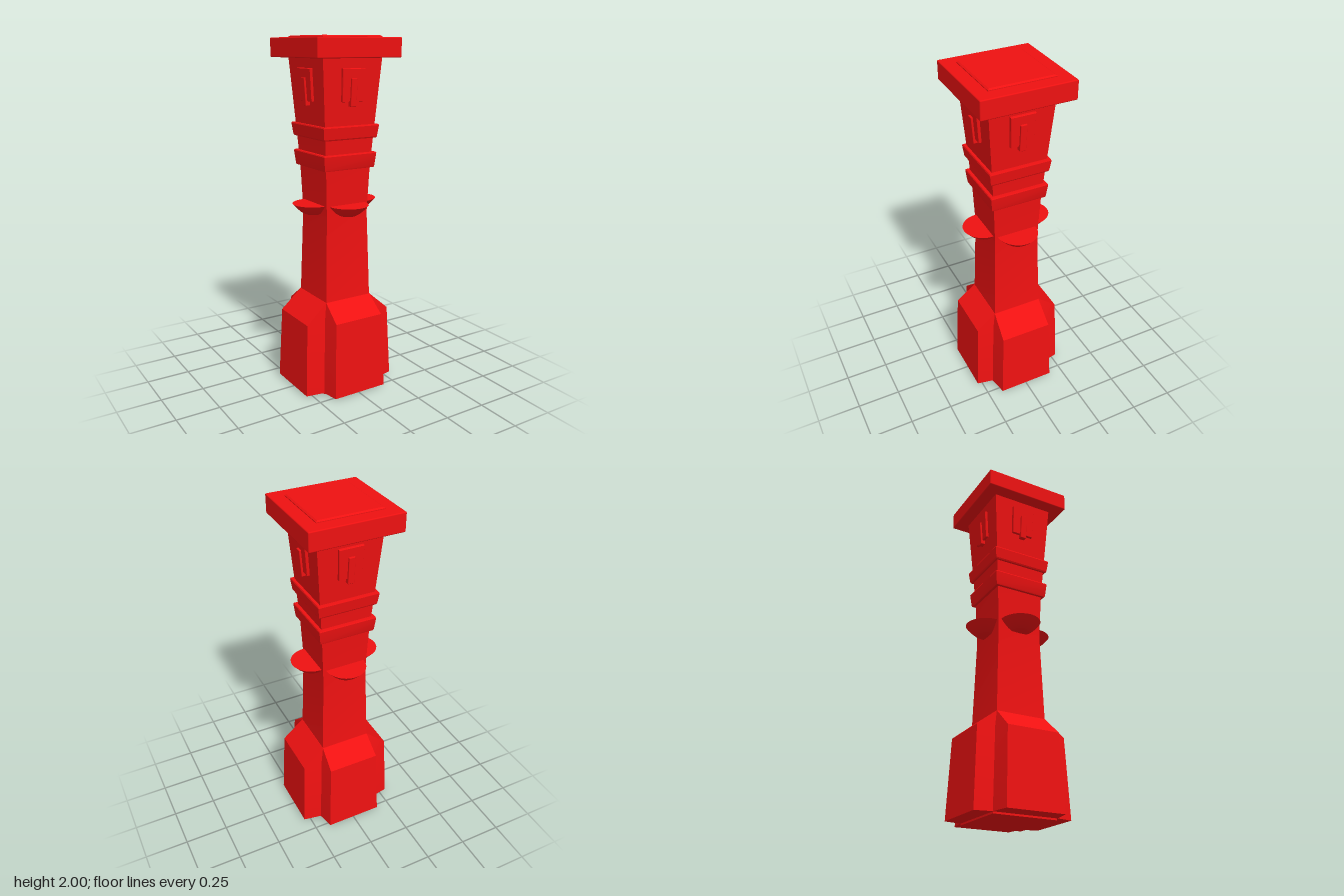
import * as THREE from 'three';
import { toCreasedNormals } from 'three/addons/utils/BufferGeometryUtils.js';
import { RoundedBoxGeometry } from 'three/addons/geometries/RoundedBoxGeometry.js';

const red = new THREE.MeshStandardMaterial({ color: 0xee1111 });

function mesh(name, geometry, parent) {
  const m = new THREE.Mesh(geometry, red);
  m.name = name;
  parent.add(m);
  return m;
}

// Closed skin through rings of [x, y, z] points, with end caps
function loft(rings, crease = 0.3) {
  const pos = [];
  const n = rings[0].length;
  const centre = (r) => [0, r.reduce((s, p) => s + p[1], 0) / n, 0];
  const first = rings[0], last = rings[rings.length - 1];
  for (let j = 0; j < n; j++) {
    const k = (j + 1) % n;
    for (let i = 0; i < rings.length - 1; i++) {
      const a = rings[i][j], b = rings[i][k], c = rings[i + 1][k], d = rings[i + 1][j];
      pos.push(...a, ...b, ...c, ...a, ...c, ...d);
    }
    pos.push(...centre(first), ...first[k], ...first[j]);
    pos.push(...centre(last), ...last[j], ...last[k]);
  }
  const g = new THREE.BufferGeometry();
  g.setAttribute('position', new THREE.Float32BufferAttribute(pos, 3));
  return toCreasedNormals(g, crease);
}

const square = ([y, h]) => [[-h, y, h], [h, y, h], [h, y, -h], [-h, y, -h]];

// Cross outline: arm half width w, arm reaches ox / oz, inner corner c
function cross(w, ox, yx, oz, yz, c) {
  const yc = Math.max(yx, yz);
  return [
    [-w, yz, oz], [w, yz, oz], [c, yc, c],
    [ox, yx, w], [ox, yx, -w], [c, yc, -c],
    [w, yz, -oz], [-w, yz, -oz], [-c, yc, -c],
    [-ox, yx, -w], [-ox, yx, w], [-c, yc, c],
  ];
}

export function createModel() {
  const model = new THREE.Group();
  model.name = 'pillar';

  // Tapered square shaft that flares towards the top
  const profile = [[0, 0.182], [0.43, 0.16], [0.54, 0.146], [1.03, 0.132], [1.09, 0.134],
    [1.29, 0.142], [1.45, 0.153], [1.6, 0.164], [1.885, 0.185]];
  mesh('shaft', loft(profile.map(square)), model);

  // Four buttresses with sloped shoulders
  mesh('buttresses', loft([
    cross(0.166, 0.29, 0.01, 0.28, 0.01, 0.185),
    cross(0.151, 0.272, 0.43, 0.262, 0.45, 0.166),
    cross(0.147, 0.148, 0.54, 0.148, 0.54, 0.147),
  ]), model);

  // Two collar bands
  mesh('lowerBand', loft([[1.29, 0.157], [1.297, 0.16], [1.37, 0.168], [1.376, 0.165]].map(square)), model);
  mesh('upperBand', loft([[1.455, 0.165], [1.462, 0.169], [1.523, 0.177], [1.53, 0.174]].map(square)), model);

  // Cap slab and its raised panel
  mesh('cap', new RoundedBoxGeometry(0.52, 0.105, 0.52, 2, 0.006), model).position.y = 1.9375;
  mesh('capPanel', loft([[1.97, 0.185], [1.994, 0.185], [2, 0.176]].map(square), 0.2), model);

  // Shallow bowl, half sunk into the shaft
  const bowl = toCreasedNormals(new THREE.LatheGeometry([
    [0, 1.028], [0.05, 1.03], [0.075, 1.044], [0.1, 1.066], [0.122, 1.09], [0, 1.09],
  ].map(([r, y]) => new THREE.Vector2(r, y)), 28), 0.7);

  // Plate outline, a little narrower at the bottom
  const outline = new THREE.Shape([[-0.062, -0.085], [0.062, -0.085], [0.068, 0.085], [-0.068, 0.085]]
    .map(([x, y]) => new THREE.Vector2(x, y)));
  const plate = new THREE.ExtrudeGeometry(outline, {
    depth: 0.022, bevelEnabled: true, bevelSize: 0.002, bevelThickness: 0.003, bevelSegments: 1,
  });

  // Bowl and ornament repeat on all four faces
  for (let i = 0; i < 4; i++) {
    const side = new THREE.Group();
    side.name = 'sideOrnaments' + (i + 1);
    side.rotation.y = i * Math.PI / 2;
    model.add(side);

    const dish = mesh('bowl', bowl, side);
    dish.position.z = 0.137;
    dish.scale.x = 0.95;

    const ornament = new THREE.Group();
    ornament.name = 'ornament';
    ornament.position.set(0, 1.745, 0.175);
    ornament.rotation.x = 0.075;
    side.add(ornament);
    mesh('plate', plate, ornament).position.z = -0.01;
    mesh('bar', new RoundedBoxGeometry(0.036, 0.15, 0.036, 1, 0.003), ornament).position.set(0, -0.037, 0.008);
  }
  return model;
}
